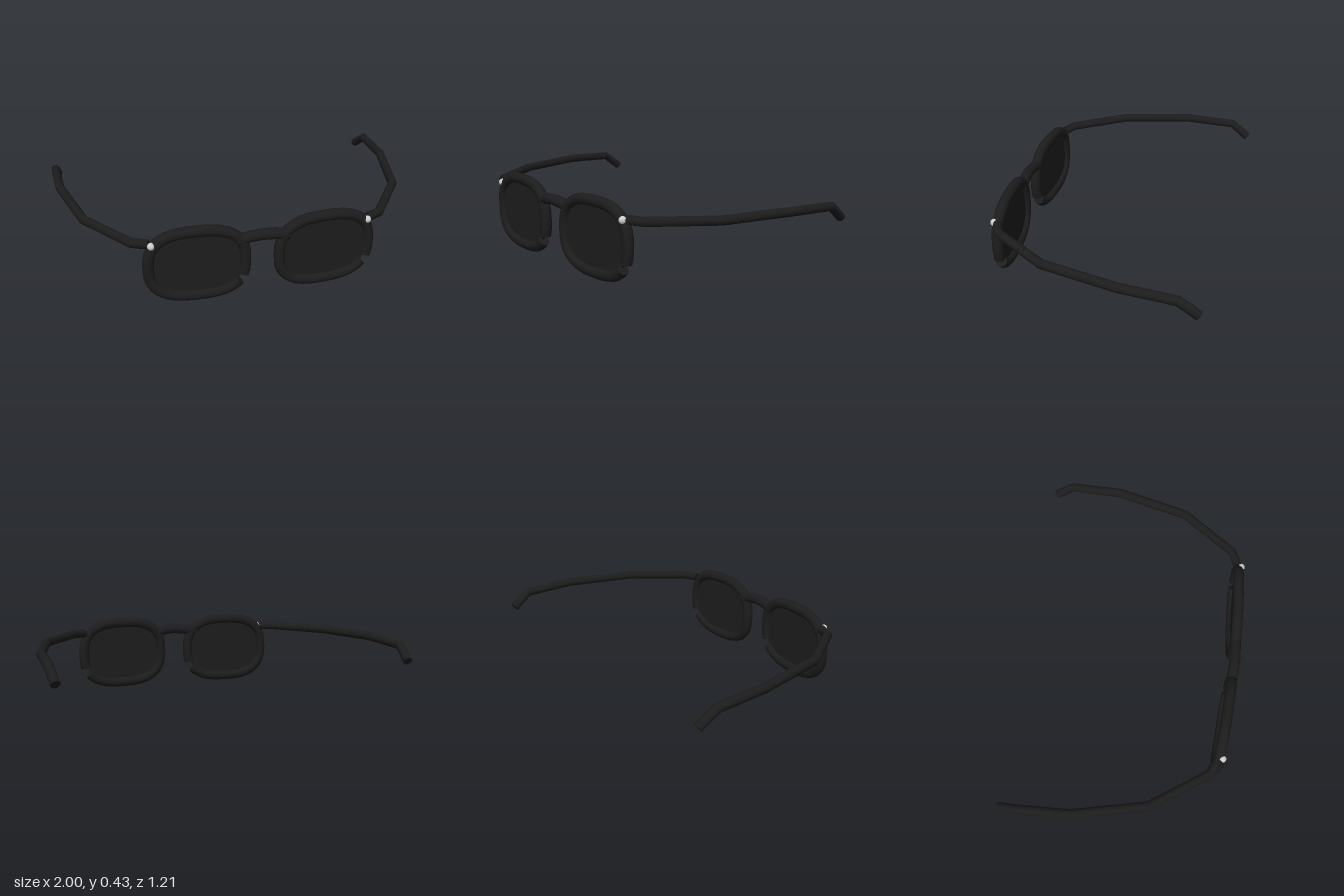
import * as THREE from 'three';

const V = (x, y, z) => new THREE.Vector3(x, y, z);

// Capped round bar swept along a polyline; ref sets the cross-section's first axis
function sweep(points, radius, ref, sides = 12) {
  const pos = [], index = [], last = points.length - 1;
  const rings = points.map((p, i) => {
    const into = points[Math.max(i, 1)].clone().sub(points[Math.max(i, 1) - 1]).normalize();
    const k = Math.min(i, last - 1);
    const out = points[k + 1].clone().sub(points[k]).normalize();
    const t = into.add(out).normalize();
    const n = ref.clone().addScaledVector(t, -ref.dot(t)).normalize();
    const b = t.clone().cross(n);
    return Array.from({ length: sides }, (_, j) => {
      const a = (j / sides) * Math.PI * 2;
      return p.clone().addScaledVector(n, radius * Math.cos(a)).addScaledVector(b, radius * Math.sin(a));
    });
  });
  const add = (p) => pos.push(p.x, p.y, p.z) / 3 - 1;
  const ids = rings.map((ring) => ring.map(add));
  for (let i = 0; i < last; i++) {
    for (let j = 0; j < sides; j++) {
      const k = (j + 1) % sides;
      index.push(ids[i][j], ids[i][k], ids[i + 1][j], ids[i][k], ids[i + 1][k], ids[i + 1][j]);
    }
  }
  // flat end caps with their own vertices
  for (const i of [0, last]) {
    const c = add(points[i]);
    const rim = rings[i].map(add);
    for (let j = 0; j < sides; j++) {
      const k = (j + 1) % sides;
      if (i === 0) index.push(c, rim[k], rim[j]);
      else index.push(c, rim[j], rim[k]);
    }
  }
  const g = new THREE.BufferGeometry();
  g.setAttribute('position', new THREE.Float32BufferAttribute(pos, 3));
  g.setIndex(index);
  g.computeVertexNormals();
  return g;
}

// Rounded-square outline of a lens
function outline(angle, halfW, halfH) {
  const c = Math.cos(angle), s = Math.sin(angle), e = 2 / 2.7;
  return [Math.sign(c) * Math.abs(c) ** e * halfW, Math.sign(s) * Math.abs(s) ** e * halfH];
}

export function createModel() {
  const model = new THREE.Group();
  model.name = 'glasses';
  const frameMat = new THREE.MeshStandardMaterial({ color: 0x1c1c1c });
  frameMat.name = 'blackFrame';
  const lensMat = new THREE.MeshStandardMaterial({ color: 0x1d1d1d });
  lensMat.name = 'darkLens';
  const metalMat = new THREE.MeshStandardMaterial({ color: 0xcccccc });
  metalMat.name = 'silverMetal';
  const add = (name, geometry, material) => {
    const mesh = new THREE.Mesh(geometry, material);
    mesh.name = name;
    model.add(mesh);
    return mesh;
  };

  const cx = 0.339, cy = 0.217;
  const depth = (x) => 0.575 - 0.055 * Math.abs(x);

  for (const [side, s] of [['left', 1], ['right', -1]]) {
    // rim, left open at a short notch low on its +x side
    const start = THREE.MathUtils.degToRad(-20), span = THREE.MathUtils.degToRad(346);
    const rim = Array.from({ length: 37 }, (_, i) => {
      const [x, y] = outline(start + (span * i) / 36, 0.249, 0.186);
      return V(s * cx + x, cy + y, depth(s * cx + x));
    });
    add(side + 'Rim', sweep(rim, 0.03, V(0, 0, 1)), frameMat);

    // thin flat lens following the slight wrap of the front
    const shape = new THREE.Shape(Array.from({ length: 40 }, (_, i) =>
      new THREE.Vector2(...outline((i / 40) * Math.PI * 2, 0.24, 0.178))));
    const lensGeo = new THREE.ExtrudeGeometry(shape, { depth: 0.012, bevelEnabled: false });
    lensGeo.translate(0, 0, -0.006);
    const lens = add(side + 'Lens', lensGeo, lensMat);
    lens.position.set(s * cx, cy, depth(cx));
    lens.rotation.y = s * Math.atan(0.055);

    // temple arm with bent ear hook
    const arm = [
      [0.58, 0.35, 0.535], [0.66, 0.35, 0.5], [0.87, 0.35, 0.2],
      [0.965, 0.35, -0.2], [0.976, 0.335, -0.49], [0.963, 0.26, -0.59],
    ].map(([x, y, z]) => V(s * x, y, z));
    add(side + 'Temple', sweep(arm, 0.025, V(0, 1, 0)), frameMat);

    // hinge rivet
    add(side + 'Rivet', new THREE.SphereGeometry(0.02, 12, 8), metalMat).position.set(s * 0.57, 0.35, 0.56);
  }

  // arched nose bridge
  const bridge = [[-0.14, 0.328], [-0.07, 0.343], [0, 0.35], [0.07, 0.343], [0.14, 0.328]]
    .map(([x, y]) => V(x, y, depth(x)));
  add('bridge', sweep(bridge, 0.03, V(0, 1, 0)), frameMat);

  return model;
}
